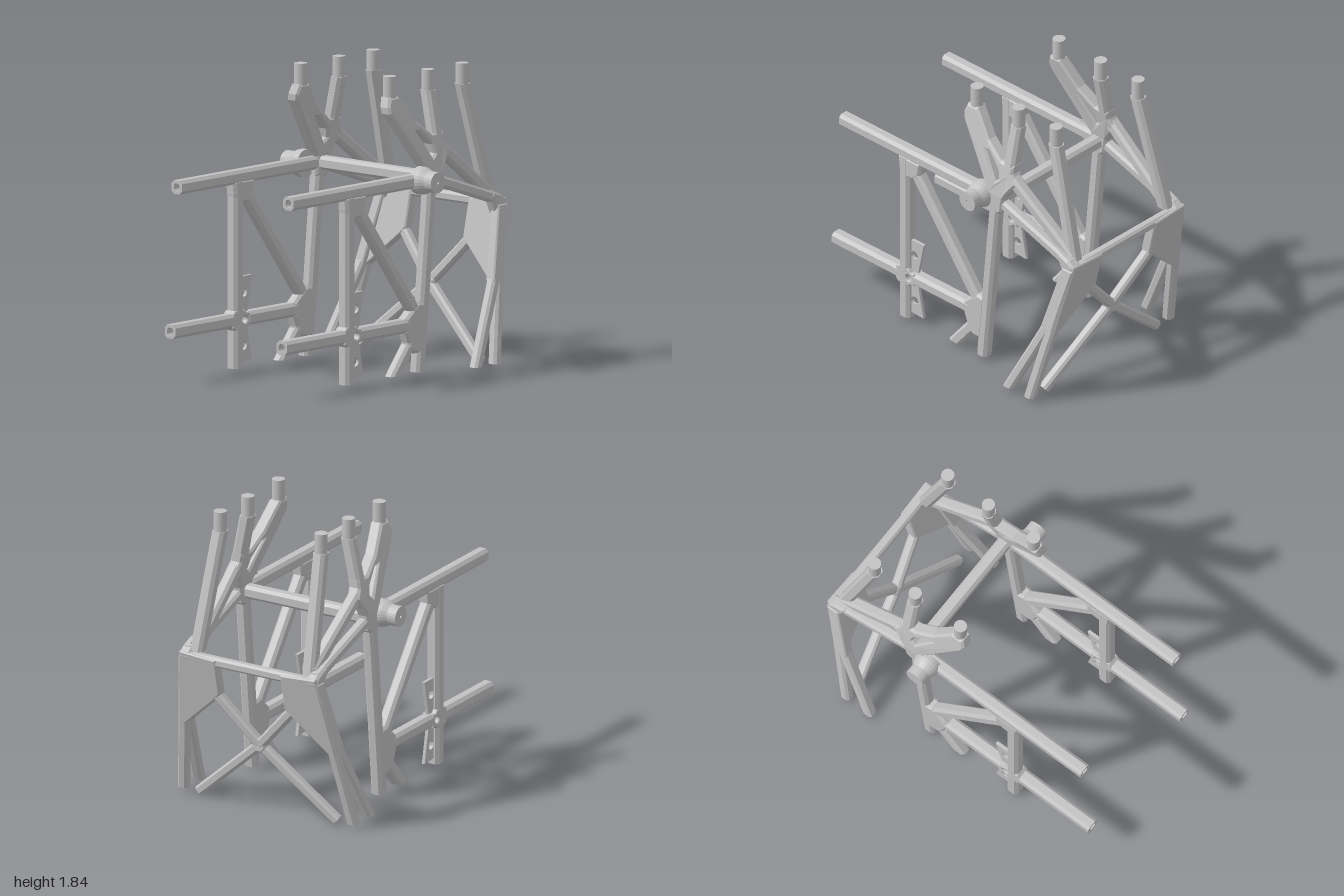
import * as THREE from 'three';

const steel = new THREE.MeshStandardMaterial({ color: 0xc2c2c2 });
steel.name = 'steelGrey';

const SIDE = 0.452; // distance of each side frame from the middle

// Square outline with cut corners
function chamferedSquare(h) {
  const c = h * 0.55;
  return [[h, -c], [h, c], [c, h], [-c, h], [-h, c], [-h, -c], [-c, -h], [c, -h]]
    .map(p => new THREE.Vector2(...p));
}

function addMesh(parent, name, geometry) {
  const mesh = new THREE.Mesh(geometry, steel);
  mesh.name = name;
  parent.add(mesh);
  return mesh;
}

// Hollow eight-sided beam from a to b; level ends are cut horizontally
function beam(parent, name, a, b, w = 0.08, level = false, ref = [0, 0, 1]) {
  const A = new THREE.Vector3(...a), B = new THREE.Vector3(...b);
  const d = B.clone().sub(A), len = d.length();
  d.normalize();
  const u = new THREE.Vector3(...ref);
  u.addScaledVector(d, -u.dot(d)).normalize();
  const v = d.clone().cross(u);
  const shape = new THREE.Shape(chamferedSquare(w / 2));
  shape.holes.push(new THREE.Path(chamferedSquare(w * 0.28).reverse()));
  const g = new THREE.ExtrudeGeometry(shape, { depth: len, bevelEnabled: false });
  const pos = g.attributes.position, p = new THREE.Vector3();
  const basis = new THREE.Matrix4().makeBasis(u, v, d).setPosition(A);
  for (let i = 0; i < pos.count; i++) {
    p.fromBufferAttribute(pos, i);
    const endY = p.z > len / 2 ? B.y : A.y;
    p.applyMatrix4(basis);
    if (level) p.addScaledVector(d, (endY - p.y) / d.y);
    pos.setXYZ(i, p.x, p.y, p.z);
  }
  g.computeVertexNormals();
  return addMesh(parent, name, g);
}

// Plate with an outline in its own plane, chamfered edges and optional holes
function plateGeometry(points, thick, bevel = 0.016, holes = []) {
  const shape = new THREE.Shape(points.map(p => new THREE.Vector2(...p)));
  shape.holes.push(...holes);
  const g = new THREE.ExtrudeGeometry(shape, {
    depth: thick - 2 * bevel, bevelEnabled: bevel > 0, bevelSegments: 1,
    bevelSize: bevel, bevelThickness: bevel, bevelOffset: -bevel, curveSegments: 16
  });
  return g.translate(0, 0, bevel - thick / 2);
}

// Move each vertex by a rule, then rebuild the flat normals
function shift(g, rule) {
  const pos = g.attributes.position;
  for (let i = 0; i < pos.count; i++) {
    const [dx, dz] = rule(pos.getY(i));
    pos.setX(i, pos.getX(i) + dx);
    pos.setZ(i, pos.getZ(i) + dz);
  }
  g.computeVertexNormals();
  return g;
}

const roundHole = (x, y, r) => new THREE.Path().absarc(x, y, r, 0, Math.PI * 2, true);

const armZ = y => Math.min(SIDE, SIDE - 0.21 * (y - 1.25)); // upper arms lean inward
const legZ = y => 0.605 - 0.15 * y;                         // end legs splay outward
const portalX = y => 0.755 + 0.222 * y;                     // sloping end portal
const CROSS_Y = 0.42;                                       // height where the braces meet

function sideFrame(s) {
  const f = new THREE.Group();
  f.name = s > 0 ? 'frontSideFrame' : 'backSideFrame';
  const z = SIDE * s;
  const flat = (name, pts, thick, bevel, holes) =>
    addMesh(f, name, plateGeometry(pts, thick, bevel, holes).translate(0, 0, z));

  // Rails, post and braces
  beam(f, 'upperRail', [-0.94, 1.17, z], [0.31, 1.17, z], 0.083);
  beam(f, 'lowerRail', [-1, 0.295, z], [-0.45, 0.295, z], 0.085);
  beam(f, 'lowerRail', [-0.33, 0.295, z], [0.13, 0.295, z], 0.085);
  beam(f, 'postFoot', [-0.41, 0, z], [-0.41, 0.26, z], 0.085);
  beam(f, 'post', [-0.41, 0.33, z], [-0.41, 1.14, z], 0.085);
  beam(f, 'diagonalBrace', [-0.34, 1.08, z], [0.2, 0.36, z], 0.078);
  beam(f, 'inclinedLeg', [0.227, 0, z], [0.335, 1.14, z], 0.078, true);
  beam(f, 'shortFoot', [0.005, 0, z], [0.15, 0.18, z], 0.075, true);

  // Junction of rail and post, with a pin hole through it
  flat('postJunction', [[-0.47, 0.253], [-0.453, 0.235], [-0.367, 0.235], [-0.35, 0.253], [-0.32, 0.253],
    [-0.32, 0.337], [-0.35, 0.337], [-0.367, 0.355], [-0.453, 0.355], [-0.47, 0.337]], 0.083, 0.005,
    [roundHole(-0.365, 0.295, 0.023)]);

  // Drilled lugs above and below the lower rail
  flat('upperLug', [[-0.4, 0.33], [-0.315, 0.33], [-0.268, 0.555], [-0.4, 0.555]], 0.02, 0,
    [roundHole(-0.343, 0.455, 0.027)]);
  flat('lowerLug', [[-0.4, 0.04], [-0.27, 0.03], [-0.315, 0.26], [-0.4, 0.26]], 0.02, 0,
    [roundHole(-0.343, 0.13, 0.027)]);

  // Gussets
  flat('upperGusset', [[-0.46, 1.15], [-0.455, 1.07], [-0.445, 1.01], [-0.33, 1.01], [-0.28, 1.06],
    [-0.268, 1.15]], 0.082);
  flat('lowerGusset', [[0.085, 0.255], [0.11, 0.19], [0.11, 0.15], [0.165, 0.12], [0.235, 0.12], [0.262, 0.42],
    [0.2, 0.43], [0.14, 0.385], [0.085, 0.337]], 0.082);

  // Forked upper arm flowing into the main node
  const opening = new THREE.Path([[0.225, 1.468], [0.34, 1.3], [0.363, 1.32], [0.347, 1.375], [0.262, 1.462]]
    .map(p => new THREE.Vector2(...p)));
  const arm = plateGeometry([[0.036, 1.69], [0.015, 1.63], [0.02, 1.59], [0.285, 1.21], [0.28, 1.09],
    [0.37, 1.08], [0.4, 1.1], [0.415, 1.2], [0.45, 1.26], [0.505, 1.33], [0.465, 1.39], [0.465, 1.44],
    [0.385, 1.44], [0.36, 1.44], [0.24, 1.53], [0.118, 1.69]], 0.085, 0.014, [opening]);
  addMesh(f, 'forkedArm', shift(arm, y => [0, armZ(y) * s]));

  // Other upper arms and struts
  beam(f, 'middleArm', [0.42, 1.36, armZ(1.36) * s], [0.425, 1.69, 0.36 * s], 0.083, true);
  beam(f, 'endArm', [0.922, 0.97, 0.4 * s], [0.735, 1.69, 0.36 * s], 0.083, true);
  beam(f, 'upperStrut', [0.45, 1.345, armZ(1.345) * s], [0.92, 0.99, 0.41 * s], 0.078);
  beam(f, 'lowerStrut', [0.37, 1.16, z], [0.95, 0.965, z], 0.068);

  // Top pins
  for (const x of [0.08, 0.425, 0.735]) {
    addMesh(f, 'topPin', new THREE.CylinderGeometry(0.04, 0.04, 0.135, 24))
      .position.set(x, 1.7475, 0.36 * s);
  }

  // Flared trunnion pointing outward
  const profile = [[0, 0.455], [0.085, 0.455], [0.086, 0.49], [0.08, 0.515], [0.064, 0.55], [0.064, 0.612],
    [0.009, 0.612], [0.009, 0.6], [0, 0.6]].map(p => new THREE.Vector2(...p));
  const trunnion = new THREE.LatheGeometry(profile, 24).toNonIndexed();
  trunnion.computeVertexNormals();
  trunnion.rotateX(s * Math.PI / 2);
  addMesh(f, 'trunnion', trunnion).position.set(0.235, 1.17, 0);

  // Corner block and splayed end legs
  flat('cornerBlock', [[0.86, 0.99], [0.91, 0.88], [0.975, 0.86], [1, 0.94], [0.992, 0.97], [0.95, 1.0],
    [0.87, 1.03]], 0.082);
  beam(f, 'outerLeg', [portalX(0), 0, legZ(0) * s], [portalX(0.92), 0.92, legZ(0.92) * s], 0.066, true);
  beam(f, 'innerLeg', [0.585, 0, legZ(0) * s], [0.86, 0.56, legZ(0.56) * s], 0.066, true);
  const web = plateGeometry([[0.792, 0.49], [0.885, 0.49], [0.995, 0.94], [0.912, 0.94]], 0.07, 0.008);
  addMesh(f, 'legWeb', shift(web, y => [0, legZ(y) * s]));

  // Broad gusset in the sloping end portal
  const outline = [[0.485, 0.972], [0.232, 0.955], [0.232, 0.72], [0.275, 0.675], [0.515, 0.46], [0.56, 0.46]]
    .map(([w, y]) => [-w * s, y]);
  const gusset = plateGeometry(outline, 0.07, 0.008).rotateY(Math.PI / 2);
  addMesh(f, 'portalGusset', shift(gusset, y => [portalX(y), 0]));

  // Crossed bracing: shallow lower arm and steeper upper arm
  const centre = [portalX(CROSS_Y), CROSS_Y, 0];
  beam(f, 'lowerCrossBrace', [portalX(0), 0, 0.49 * s], centre, 0.062, false, [1, 0, 0]);
  beam(f, 'upperCrossBrace', centre, [portalX(0.72), 0.72, 0.28 * s], 0.062, false, [1, 0, 0]);
  return f;
}

export function createModel() {
  const model = new THREE.Group();
  model.name = 'steelSupportFrame';
  model.add(sideFrame(1), sideFrame(-1));

  // Members tying the two sides together
  beam(model, 'mainCrossbeam', [0.343, 1.168, -0.45], [0.343, 1.168, 0.45], 0.083, false, [1, 0, 0]);
  beam(model, 'portalCrossbeam', [0.962, 0.938, -0.46], [0.962, 0.938, 0.46], 0.06, false, [1, 0, 0]);

  // Small node where the cross braces meet
  const node = plateGeometry([[0.05, -0.02], [0.05, 0.02], [0.02, 0.048], [-0.02, 0.048], [-0.05, 0.02],
    [-0.05, -0.02], [-0.02, -0.048], [0.02, -0.048]], 0.062, 0.012).rotateY(Math.PI / 2);
  addMesh(model, 'braceNode', node).position.set(portalX(CROSS_Y), CROSS_Y, 0);
  return model;
}
